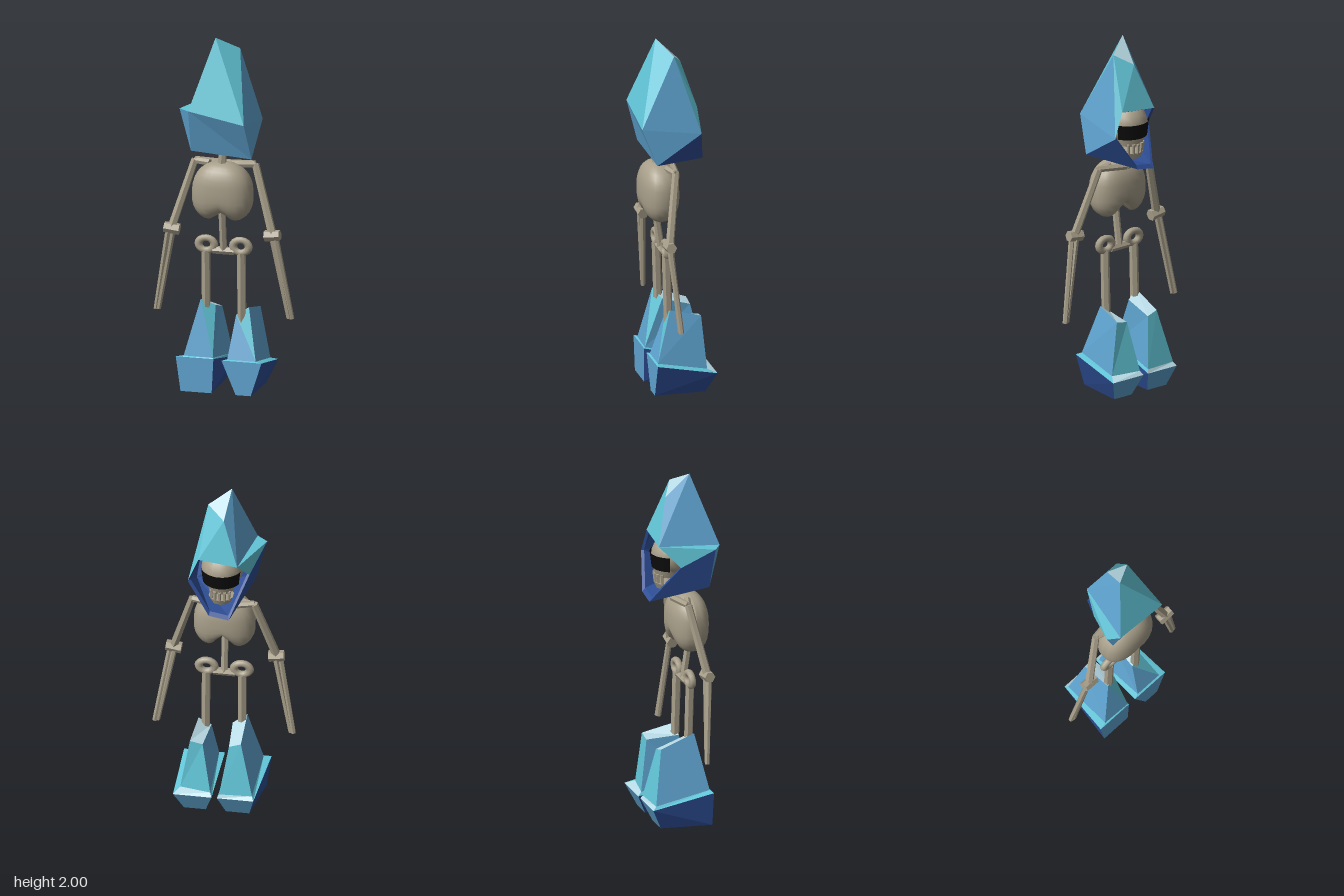
import * as THREE from 'three';

const V = (p) => new THREE.Vector3(...p);

function mat(name, color, side = THREE.FrontSide) {
  const m = new THREE.MeshStandardMaterial({ color, side });
  m.name = name;
  return m;
}

export function createModel() {
  const model = new THREE.Group();
  const cyan = mat('crystal cyan', 0x62c6d8, THREE.DoubleSide);
  const blue = mat('crystal blue', 0x5fa4d0, THREE.DoubleSide);
  const navy = mat('crystal navy', 0x2f4f98, THREE.DoubleSide);
  const pale = mat('crystal pale', 0xb8dbe6, THREE.DoubleSide);
  const bone = mat('bone', 0xa89f8a);
  const black = mat('socket black', 0x0c0c0c, THREE.DoubleSide);

  const add = (name, geo, material, parent = model) => {
    const m = new THREE.Mesh(geo, material);
    m.name = name;
    parent.add(m);
    return m;
  };

  // Flat polygons fanned into triangles, wound away from a centre, one geometry group per colour
  const facets = (name, pts, sets, centre, parent = model) => {
    const pos = [], geo = new THREE.BufferGeometry(), c = V(centre), mats = [];
    for (const [material, faces] of sets) {
      const start = pos.length / 3;
      for (const face of faces) {
        const p = [...face].map((k) => V(pts[k]));
        for (let i = 1; i < p.length - 1; i++) {
          const [a, b, d] = [p[0], p[i], p[i + 1]];
          const n = b.clone().sub(a).cross(d.clone().sub(a));
          const out = a.clone().add(b).add(d).divideScalar(3).sub(c);
          for (const v of n.dot(out) < 0 ? [a, d, b] : [a, b, d]) pos.push(v.x, v.y, v.z);
        }
      }
      geo.addGroup(start, pos.length / 3 - start, mats.length);
      mats.push(material);
    }
    geo.setAttribute('position', new THREE.Float32BufferAttribute(pos, 3));
    geo.computeVertexNormals();
    return add(name, geo, mats, parent);
  };

  // Faceted bone between two points
  const bar = (name, a, b, r0, r1, parent = model, sides = 6) => {
    const A = V(a), B = V(b), len = A.distanceTo(B);
    const geo = new THREE.CylinderGeometry(r1, r0, len, sides).toNonIndexed();
    geo.computeVertexNormals();
    const m = add(name, geo, bone, parent);
    m.position.copy(A).lerp(B, 0.5);
    m.quaternion.setFromUnitVectors(new THREE.Vector3(0, 1, 0), B.sub(A).normalize());
    return m;
  };

  // Crystal helmet: open face towards -z
  const helmet = new THREE.Group();
  helmet.name = 'helmet';
  model.add(helmet);
  const hp = {
    A: [-0.04, 2, 0.07], B: [0.08, 1.93, 0], C: [-0.015, 1.87, -0.06],
    D: [-0.16, 1.61, 0.2], E: [0.153, 1.55, 0.2], F: [-0.22, 1.61, 0.155],
    G: [-0.1, 1.62, -0.13], H: [0.115, 1.64, -0.12], K: [0.172, 1.5, -0.13],
    P: [-0.15, 1.5, -0.02], R: [0.175, 1.34, 0.12], L: [-0.16, 1.37, 0.14],
    N: [-0.06, 1.29, -0.17], M: [0.05, 1.31, -0.17],
  };
  const mid = [0, 1.56, 0.03];
  facets('helmetShell', hp, [
    [cyan, ['ADE', 'AEB', 'CBH', 'BKH', 'CHG', 'DFG', 'GPF']],
    [blue, ['DERL', 'FDL', 'AGD', 'ACG', 'BEK', 'ERK']],
    [navy, ['KRM', 'RLNM', 'FPL', 'PNL']],
    [pale, ['ABC']],
  ], mid, helmet);

  // Inner wall and the rim around the opening
  const ip = {};
  for (const k in hp) {
    ip[k] = hp[k];
    ip[k.toLowerCase()] = hp[k].map((v, i) => mid[i] + (v - mid[i]) * 0.92);
  }
  const inner = ['ADE', 'AEB', 'CBH', 'BKH', 'CHG', 'DFG', 'GPF', 'DERL', 'FDL', 'AGD', 'ACG',
    'BEK', 'ERK', 'KRM', 'RLNM', 'FPL', 'PNL', 'ABC'].map((s) => s.toLowerCase());
  const loop = 'GPNMKH';
  const rim = [...loop].map((a, i) => {
    const b = loop[(i + 1) % loop.length];
    return a + b + b.toLowerCase() + a.toLowerCase();
  });
  facets('helmetLining', ip, [[navy, [...inner, ...rim]]], mid, helmet);

  // Skull with a dark eye band, cheek bones, jaw and teeth
  const skull = new THREE.Group();
  skull.name = 'skull';
  model.add(skull);
  add('cranium', new THREE.SphereGeometry(1, 16, 12).scale(0.115, 0.115, 0.12), bone, skull).position.set(0, 1.53, -0.01);
  const band = add('eyeSockets', new THREE.CylinderGeometry(0.118, 0.108, 0.085, 16, 1, true, Math.PI - 1.15, 2.3), black, skull);
  band.position.set(0, 1.505, -0.02);
  add('upperJaw', new THREE.CylinderGeometry(0.085, 0.07, 0.05, 10), bone, skull).position.set(0, 1.44, -0.04);
  add('lowerJaw', new THREE.CylinderGeometry(0.07, 0.055, 0.035, 10), bone, skull).position.set(0, 1.36, -0.05);
  for (let i = -2; i <= 2; i++) {
    const a = i * 0.4;
    bar('tooth', [Math.sin(a) * 0.066, 1.37, -0.045 - Math.cos(a) * 0.066],
      [Math.sin(a) * 0.07, 1.43, -0.045 - Math.cos(a) * 0.07], 0.007, 0.01, skull, 5);
  }

  // Neck and spine
  bar('neck', [0, 1.25, 0.08], [0, 1.45, 0.07], 0.024, 0.022);
  bar('spine', [0, 0.79, 0.05], [0, 1.06, 0.09], 0.02, 0.02);

  // Rib cage: squared-off ellipsoid, lifted along the middle of its lower edge
  const ribs = new THREE.SphereGeometry(1, 24, 16);
  const q = ribs.attributes.position;
  const pw = (v, e) => Math.sign(v) * Math.abs(v) ** e;
  for (let i = 0; i < q.count; i++) {
    const x = q.getX(i), y = q.getY(i), z = q.getZ(i);
    const X = pw(x, 0.85) * 0.17 * (1 - 0.06 * y);
    let Y = pw(y, 0.8) * 0.17;
    if (y < 0) Y += Math.exp(-((X / 0.05) ** 2)) * -y * (z < 0 ? 0.1 : 0.055);
    q.setXYZ(i, X, 1.13 + Y, 0.068 + pw(z, 0.85) * 0.107);
  }
  ribs.computeVertexNormals();
  add('ribCage', ribs, bone);

  // Pelvis bar
  bar('pelvisBridge', [-0.06, 0.79, 0.05], [0.06, 0.79, 0.05], 0.022, 0.022);

  for (const s of [-1, 1]) {
    const side = s > 0 ? 'left' : 'right';
    // Hip ring and leg
    const hip = add(side + 'HipRing', new THREE.TorusGeometry(0.042, 0.022, 8, 16), bone);
    hip.scale.set(1.05, 0.85, 0.9);
    hip.position.set(s * 0.097, 0.82, 0.05);
    bar(side + 'Leg', [s * 0.1, 0.1, 0.03], [s * 0.1, 0.785, 0.05], 0.025, 0.025);

    // Collar bone, upper arm, elbow and the paired forearm bones
    const arm = new THREE.Group();
    arm.name = side + 'Arm';
    model.add(arm);
    bar('collarBone', [0, 1.27, -0.01], [s * 0.17, 1.285, 0.015], 0.02, 0.018, arm);
    bar('shoulderBlade', [s * 0.08, 1.28, 0.04], [s * 0.17, 1.28, 0.015], 0.02, 0.018, arm);
    const elbow = [s * 0.285, 0.905, 0.083];
    bar('upperArm', elbow, [s * 0.17, 1.285, 0.015], 0.024, 0.021, arm);
    bar('elbow', [s * 0.24, 0.9, 0.08], [s * 0.325, 0.91, 0.083], 0.032, 0.03, arm);
    bar('outerForearm', [elbow[0] + s * 0.016, 0.9, 0.085], [s * 0.382, 0.43, 0.043], 0.017, 0.014, arm);
    bar('innerForearm', [elbow[0] - s * 0.008, 0.9, 0.075], [s * 0.366, 0.432, 0.047], 0.016, 0.013, arm);
  }

  // Crystal boots: a-d sole, e-h widest ring, i-l shaft base, m-p shaft top
  const boot = (name, p, centre) => facets(name, p, [
    [blue, ['abfe', 'cdhg', 'ilpm', 'imj', 'jkon']],
    [navy, ['abcd', 'bcgf', 'adhe']],
    [cyan, ['mnj', 'klpo', 'efji', 'fgkj', 'hlie']],
    [pale, ['mnop', 'ghlk']],
  ], centre);
  boot('rightBoot', {
    a: [-0.22, 0, 0.135], b: [-0.045, 0, 0.135], c: [-0.04, 0, -0.145], d: [-0.17, 0, -0.145],
    e: [-0.247, 0.195, 0.135], f: [-0.035, 0.195, 0.135], g: [0, 0.12, -0.2], h: [-0.2, 0.12, -0.2],
    i: [-0.205, 0.2, 0.125], j: [-0.04, 0.2, 0.13], k: [-0.01, 0.14, -0.19], l: [-0.19, 0.14, -0.18],
    m: [-0.125, 0.51, 0.065], n: [-0.05, 0.47, 0.03], o: [-0.055, 0.42, -0.13], p: [-0.12, 0.44, -0.125],
  }, [-0.12, 0.2, 0]);
  boot('leftBoot', {
    a: [0.09, 0, 0.135], b: [0.175, 0, 0.135], c: [0.19, 0, -0.145], d: [0.07, 0, -0.145],
    e: [0.01, 0.19, 0.135], f: [0.235, 0.19, 0.135], g: [0.242, 0.12, -0.2], h: [0.03, 0.12, -0.2],
    i: [0.04, 0.195, 0.125], j: [0.2, 0.195, 0.125], k: [0.21, 0.14, -0.15], l: [0.04, 0.14, -0.18],
    m: [0.07, 0.43, 0.05], n: [0.14, 0.475, 0.04], o: [0.16, 0.435, -0.13], p: [0.09, 0.42, -0.13],
  }, [0.125, 0.2, 0]);

  return model;
}
